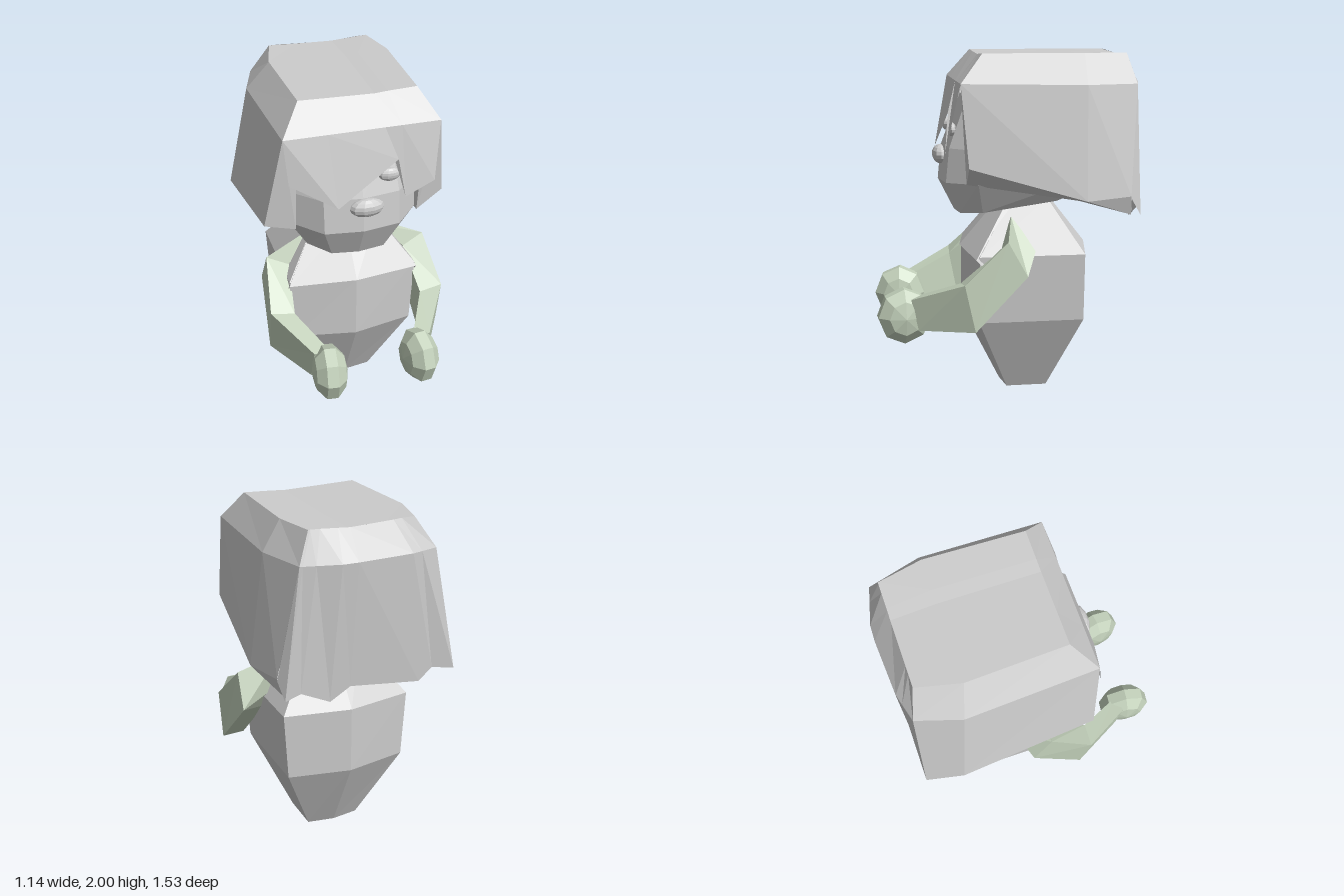
import * as THREE from 'three';

const mat = (color) => new THREE.MeshStandardMaterial({ color, flatShading: true, side: THREE.DoubleSide });
const grey = mat(0xcccccc);
const green = mat(0xc2d0ba);

function mesh(name, geometry, material = grey) {
  const m = new THREE.Mesh(geometry, material);
  m.name = name;
  return m;
}

// Surface through rows of points; closed joins each row's ends, caps fill the first and last row
function loft(rows, closed = false, caps = false) {
  const n = rows[0].length, pos = rows.flat(2), idx = [];
  for (let r = 0; r < rows.length - 1; r++) {
    for (let c = 0; c < (closed ? n : n - 1); c++) {
      const d = (c + 1) % n, a = r * n + c, b = r * n + d;
      idx.push(a, b, b + n, a, b + n, a + n);
    }
  }
  if (caps) {
    const last = (rows.length - 1) * n;
    for (let c = 1; c < n - 1; c++) {
      idx.push(0, c + 1, c, last, last + c, last + c + 1);
    }
  }
  const g = new THREE.BufferGeometry();
  g.setAttribute('position', new THREE.Float32BufferAttribute(pos, 3));
  g.setIndex(idx);
  g.computeVertexNormals();
  return g;
}

// Six-sided ring with a shallow ridge at front and back
function bodyRing(y, w, front, back, bow) {
  return [[0, y, front], [w, y, front - bow], [w, y, back + bow],
    [0, y, back], [-w, y, back + bow], [-w, y, front - bow]];
}

// Ten-sided head ring, raised towards the rear by tilt
function headRing(y, w, front, back, tilt = 0) {
  const half = [[0, 1], [0.58, 0.97], [1, 0.8], [1, 0.2], [0.55, 0]];
  const right = half.map(([x, t]) => [x * w, y + tilt * (1 - t), back + (front - back) * t]);
  const rear = [0, y + tilt, back];
  const left = right.slice(1).reverse().map(([x, yy, z]) => [-x, yy, z]);
  return [...right, rear, ...left];
}

function ball(name, radii, position, ws, hs, material) {
  const m = mesh(name, new THREE.SphereGeometry(1, ws, hs), material);
  m.scale.set(...radii);
  m.position.set(...position);
  return m;
}

function createArm(side) {
  const arm = new THREE.Group();
  arm.name = side > 0 ? 'leftArm' : 'rightArm';
  // Sections: outer top, outer bottom, inner bottom, inner top
  const sections = [
    [[0.24, 1.06, -0.02], [0.36, 0.89, -0.15], [0.34, 0.86, -0.13], [0.22, 1.04, -0.01]],
    [[0.49, 0.96, 0.03], [0.5, 0.76, -0.08], [0.36, 0.76, -0.06], [0.36, 0.9, 0.05]],
    [[0.53, 0.73, 0.28], [0.53, 0.455, 0.22], [0.39, 0.45, 0.24], [0.39, 0.71, 0.29]],
    [[0.35, 0.61, 0.57], [0.36, 0.43, 0.53], [0.25, 0.44, 0.53], [0.25, 0.6, 0.56]],
  ].map((s) => s.map(([x, y, z]) => [x * side, y, z]));
  if (side < 0) sections.forEach((s) => s.reverse());
  arm.add(mesh('sleeve', loft(sections, true, true), green));

  // Fist with its poles pointing sideways
  const g = new THREE.SphereGeometry(1, 8, 5);
  g.rotateZ(Math.PI / 2);
  g.scale(0.105, 0.17, 0.16);
  g.rotateY(side * 0.12);
  const fist = mesh('fist', g, green);
  fist.position.set(0.272 * side, 0.5, 0.61);
  arm.add(fist);
  return arm;
}

// Thick side lock: outer face, underside, inner face and front edge
function createLock(name, top, mid, outer, inner) {
  const sx = Math.sign(mid[0][0]);
  const innerTop = mid.map(([x, y, z]) => [x - sx * 0.08, y - 0.02, z - 0.02]);
  const lock = new THREE.Group();
  lock.name = name;
  lock.add(mesh('lockShell', loft([top, mid, outer, inner, innerTop])));
  lock.add(mesh('lockFrontEdge', loft([[mid[0], outer[0]], [innerTop[0], inner[0]]])));
  return lock;
}

function createHair() {
  const hair = new THREE.Group();
  hair.name = 'hair';
  const lerp = THREE.MathUtils.lerp;
  // The crown dips slightly right of the middle
  const crownY = (x) => 1.982 + 0.018 * Math.min(1, Math.abs(x - 0.05) / 0.25);
  const crown = (x, z) => [x, crownY(x), z];

  const fr = [0, 0.28, 0.64, 0.75, 1];
  const crownRow = (x0, x1, z) => fr.map((t) => crown(lerp(x0, x1, t), z));
  const frontTop = crownRow(-0.31, 0.37, 0.16);
  hair.add(mesh('crown', loft([frontTop, crownRow(-0.33, 0.39, -0.41), crownRow(-0.27, 0.34, -0.66)])));

  // Fringe with two points and a notch above one eye
  const fringeTop = fr.map((t) => [lerp(-0.43, 0.47, t), 1.84, 0.29]);
  const fringeTips = [[-0.41, 1.58, 0.32], [-0.15, 1.43, 0.39], [0.21, 1.66, 0.34],
    [0.25, 1.43, 0.36], [0.42, 1.51, 0.36]];
  hair.add(mesh('fringe', loft([frontTop, fringeTop, fringeTips])));

  // Ragged back
  const tips = [[0.52, 1.2], [0.5, 1.1], [0.41, 1.13], [0.24, 1.05], [0.12, 1.12],
    [-0.3, 1.07], [-0.38, 1.14], [-0.51, 1.12]];
  const ts = tips.map(([x]) => (0.52 - x) / 1.03);
  const bow = (t) => Math.min(1, 3.5 * Math.min(t, 1 - t));
  hair.add(mesh('backHair', loft([
    ts.map((t) => crown(lerp(0.34, -0.27, t), -0.66)),
    ts.map((t) => [lerp(0.41, -0.38, t), 1.83, -0.71 - 0.06 * bow(t)]),
    tips.map(([x, y], i) => [x, y, i === 0 ? -0.66 : i === 7 ? -0.74 : -0.72]),
  ])));

  hair.add(createLock('leftLock',
    [crown(0.37, 0.16), crown(0.39, -0.41), crown(0.34, -0.66)],
    [[0.47, 1.84, 0.29], [0.49, 1.83, -0.41], [0.41, 1.83, -0.71]],
    [[0.51, 1.38, 0.25], [0.57, 1.195, -0.4], [0.52, 1.21, -0.66]],
    [[0.36, 1.27, 0.25], [0.4, 1.17, -0.39], [0.48, 1.1, -0.67]]));
  hair.add(createLock('rightLock',
    [crown(-0.31, 0.16), crown(-0.33, -0.41), crown(-0.27, -0.66)],
    [[-0.43, 1.84, 0.29], [-0.46, 1.83, -0.46], [-0.38, 1.83, -0.71]],
    [[-0.54, 1.31, 0.25], [-0.575, 1.2, -0.53], [-0.51, 1.12, -0.74]],
    [[-0.36, 1.26, 0.25], [-0.39, 1.13, -0.5], [-0.45, 1.13, -0.7]]));
  return hair;
}

export function createModel() {
  const model = new THREE.Group();
  model.name = 'figure';

  // Tapered body
  model.add(mesh('body', loft([
    bodyRing(0, 0.16, 0.02, -0.27, 0.025),
    bodyRing(0.46, 0.365, 0.25, -0.5, 0.07),
    bodyRing(0.855, 0.39, 0.25, -0.5, 0.07),
    bodyRing(1.15, 0.17, 0, -0.27, 0.025),
  ], true, true)));

  // Collar laid over the chest, hanging lower at the sides
  model.add(mesh('collar', loft([
    [[-0.4, 0.73, 0.1], [-0.395, 0.84, 0.2], [0, 0.85, 0.26], [0.395, 0.84, 0.2], [0.4, 0.73, 0.1]],
    [[-0.2, 1.1, -0.06], [-0.2, 1.12, 0.01], [0, 1.12, 0.03], [0.2, 1.12, 0.01], [0.2, 1.1, -0.06]],
  ])));

  for (const side of [-1, 1]) model.add(createArm(side));

  // Head with a tilted chin
  const head = new THREE.Group();
  head.name = 'head';
  head.add(mesh('skull', loft([
    headRing(1.07, 0.27, 0.29, -0.42, 0.1),
    headRing(1.26, 0.38, 0.385, -0.62, 0.05),
    headRing(1.46, 0.38, 0.365, -0.64),
    headRing(1.76, 0.34, 0.25, -0.6),
  ], true, true)));
  head.add(ball('nose', [0.1, 0.056, 0.05], [0.02, 1.405, 0.37], 10, 8));
  for (const side of [-1, 1]) {
    head.add(ball('eye', [0.065, 0.04, 0.03], [0.168 * side, 1.565, 0.318], 10, 8));
  }
  head.add(createHair());
  model.add(head);
  return model;
}
